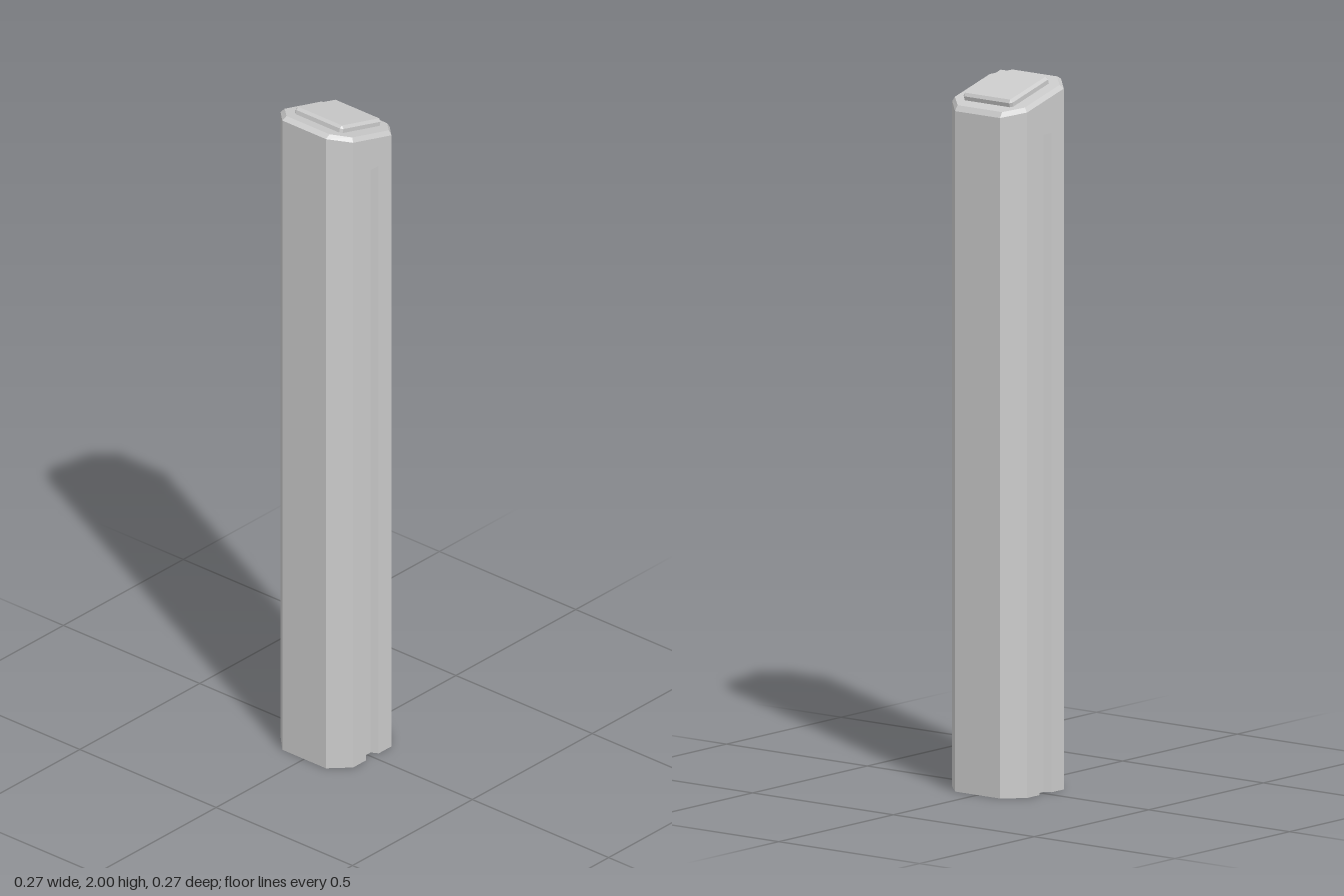
import * as THREE from 'three';

const HALF = 0.133, FLAT = 0.08;            // half width and half length of a main face
const TILT = Math.atan(0.268), RIM_Y = 1.945; // top slopes down towards the back
const GROOVE_TOP = 1.85;

const material = new THREE.MeshStandardMaterial({ color: 0xcccccc, flatShading: true, side: THREE.DoubleSide });

// Chamfered square as [x, z] corners, counter-clockwise from above
const octagon = (h, f) => [[h, f], [h, -f], [f, -h], [-f, -h], [-h, -f], [-h, f], [-f, h], [f, h]];

const rimHeight = z => RIM_Y + Math.tan(TILT) * z;

// Ring of corners lying in the sloped plane, raised along its normal
const slopedRing = (points, lift) => points.map(([x, z]) => new THREE.Vector3(x, lift, z)
  .applyAxisAngle(new THREE.Vector3(1, 0, 0), -TILT).add(new THREE.Vector3(0, RIM_Y, 0)));

function facesToMesh(name, faces) {
  const positions = [];
  for (const face of faces)
    for (let i = 1; i < face.length - 1; i++)
      for (const v of [face[0], face[i], face[i + 1]]) positions.push(v.x, v.y, v.z);
  const geometry = new THREE.BufferGeometry();
  geometry.setAttribute('position', new THREE.Float32BufferAttribute(positions, 3));
  geometry.computeVertexNormals();
  const mesh = new THREE.Mesh(geometry, material);
  mesh.name = name;
  return mesh;
}

// Band of quads between two closed rings
const band = (low, high) => low.map((p, i) => {
  const j = (i + 1) % low.length;
  return [p, low[j], high[j], high[i]];
});

// Vertical panel between two plan points; heights may follow the sloped rim
function panel(a, b, bottom, top) {
  const at = ([x, z], y) => new THREE.Vector3(x, y ?? rimHeight(z), z);
  return [at(a, bottom), at(b, bottom), at(b, top), at(a, top)];
}

function createShaft() {
  const outline = octagon(HALF, FLAT);
  const faces = [];
  // Plain walls and corner chamfers
  outline.forEach((p, i) => {
    if (i % 4 !== 0) faces.push(panel(p, outline[(i + 1) % 8], 0));
  });
  // Grooved side walls
  const mouth = 0.027, floor = 0.016, depth = 0.02;
  for (const s of [1, -1]) {
    const profile = [[HALF, FLAT], [HALF, mouth], [HALF - depth, floor],
      [HALF - depth, -floor], [HALF, -mouth], [HALF, -FLAT]].map(([x, z]) => [s * x, s * z]);
    for (let i = 0; i < 5; i++) {
      const inGroove = i > 0 && i < 4;
      faces.push(panel(profile[i], profile[i + 1], 0, inGroove ? GROOVE_TOP : undefined));
    }
    faces.push(panel(profile[1], profile[4], GROOVE_TOP));
    faces.push(profile.slice(1, 5).map(([x, z]) => new THREE.Vector3(x, GROOVE_TOP, z)));
  }
  return facesToMesh('shaft', faces);
}

function createBevelledTop() {
  const rim = octagon(HALF, FLAT).map(([x, z]) => new THREE.Vector3(x, rimHeight(z), z));
  const inner = slopedRing(octagon(0.124, 0.079), 0.012);
  return facesToMesh('bevelledTop', [...band(rim, inner), inner]);
}

function createCapPlate() {
  const base = slopedRing(octagon(0.087, 0.08), 0.011);
  const shoulder = slopedRing(octagon(0.087, 0.08), 0.024);
  const top = slopedRing(octagon(0.08, 0.08), 0.032);
  // Centre the plate slightly towards the back
  for (const p of [...base, ...shoulder, ...top]) { p.z -= 0.003; p.y -= 0.0008; }
  return facesToMesh('capPlate', [...band(base, shoulder), ...band(shoulder, top), top]);
}

export function createModel() {
  const group = new THREE.Group();
  group.name = 'slopedPost';
  group.add(createShaft(), createBevelledTop(), createCapPlate());
  return group;
}
